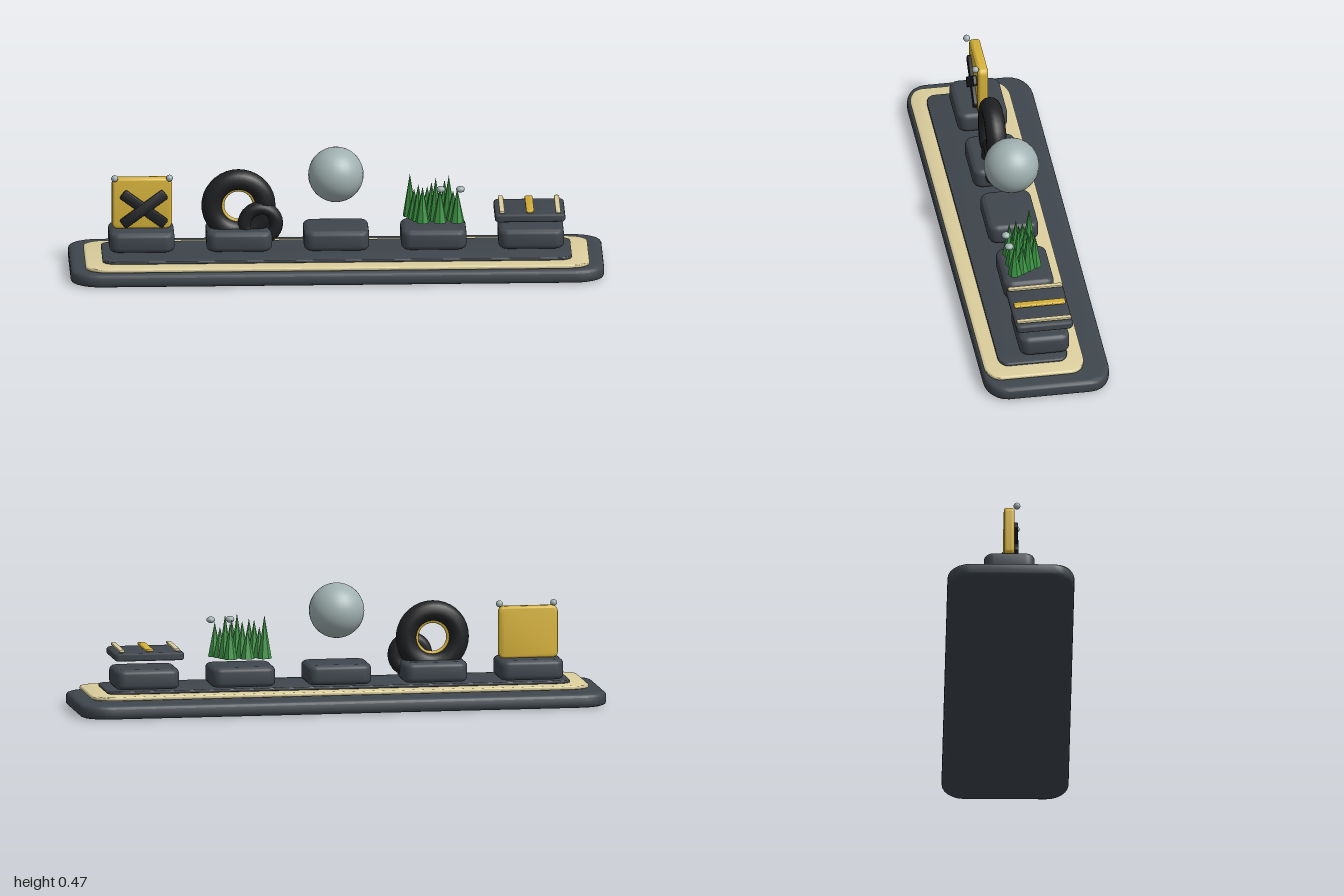
import * as THREE from 'three';
import { toCreasedNormals } from 'three/addons/utils/BufferGeometryUtils.js';

const mat = (name, color) => Object.assign(new THREE.MeshStandardMaterial({ color }), { name });

// Rounded slab: plan w x d with elliptical corners, height h, softened edges, centred at the origin
function slab(w, h, d, rx, rz, bevel, bevelH) {
  const a = w / 2 - bevel, b = d / 2 - bevel, H = Math.PI / 2;
  const s = new THREE.Shape();
  [[1, 1], [-1, 1], [-1, -1], [1, -1]].forEach(([sx, sz], i) => {
    for (let k = 0; k <= 6; k++) {
      const t = i * H + (k / 6) * H;
      const x = sx * (a - rx) + rx * Math.cos(t), y = sz * (b - rz) + rz * Math.sin(t);
      if (i || k) s.lineTo(x, y); else s.moveTo(x, y);
    }
  });
  s.closePath();
  const g = new THREE.ExtrudeGeometry(s, {
    depth: h - 2 * bevelH, bevelEnabled: true, bevelSize: bevel, bevelThickness: bevelH, bevelSegments: 4,
  });
  g.translate(0, 0, -(h - 2 * bevelH) / 2).rotateX(-H);
  return toCreasedNormals(g, 0.8);
}

export function createModel() {
  const slate = mat('slate', 0x3f464d), cream = mat('cream', 0xdccf9e), yellow = mat('yellow', 0xd6b23a);
  const black = mat('black', 0x1f2022), grey = mat('grey', 0xa0b0b0), green = mat('green', 0x3c9444);
  const model = new THREE.Group();
  model.name = 'displayTray';

  const add = (parent, name, geo, material, x, y, z) => {
    const m = new THREE.Mesh(geo, material);
    m.name = name;
    m.position.set(x, y, z);
    parent.add(m);
    return m;
  };
  const group = (name, x, y, z) => {
    const g = new THREE.Group();
    g.name = name;
    g.position.set(x, y, z);
    model.add(g);
    return g;
  };

  // Stacked tray
  add(model, 'base', slab(2, 0.054, 0.476, 0.09, 0.06, 0.025, 0.014), slate, 0, 0.027, 0);
  add(model, 'creamBorder', slab(1.89, 0.015, 0.378, 0.08, 0.05, 0.008, 0.006), cream, 0, 0.065, 0.042);
  add(model, 'topPanel', slab(1.76, 0.012, 0.264, 0.05, 0.03, 0.006, 0.005), slate, 0, 0.079, 0.042);

  // Five pedestals
  const padX = [-0.73, -0.365, 0, 0.365, 0.73];
  const padGeo = slab(0.245, 0.076, 0.19, 0.02, 0.02, 0.018, 0.018);
  padX.forEach((x) => add(model, 'pedestal', padGeo, slate, x, 0.128, -0.005));

  // Sign with crossed bars and two bolts
  const sign = group('sign', -0.728, 0.262, -0.006);
  const plate = slab(0.225, 0.04, 0.198, 0.012, 0.012, 0.01, 0.012);
  add(sign, 'signPlate', plate, yellow, 0, 0, 0).rotation.x = Math.PI / 2;
  const bar = slab(0.2, 0.016, 0.04, 0.004, 0.004, 0.004, 0.004);
  bar.rotateX(Math.PI / 2);
  for (const s of [1, -1]) {
    add(sign, 'crossBar', bar, black, 0.007, -0.018, 0.027 + s * 0.001).rotation.z = s * 0.64;
    add(sign, 'bolt', new THREE.SphereGeometry(0.013, 16, 12), grey, s * 0.103, 0.103, 0.029);
  }

  // Large tyre with a rim, and a small tyre leaning in front
  const tyres = group('tyres', -0.366, 0.25, 0);
  add(tyres, 'largeTyre', new THREE.TorusGeometry(0.1, 0.039, 14, 36), black, 0, 0, 0);
  add(tyres, 'wheelRim', new THREE.TorusGeometry(0.062, 0.009, 10, 32), yellow, 0, 0, 0);
  add(tyres, 'smallTyre', new THREE.TorusGeometry(0.059, 0.026, 12, 28), black, 0.082, -0.066, 0.02);

  // Floating ball
  add(model, 'ball', new THREE.SphereGeometry(0.104, 28, 20), grey, 0, 0.362, -0.013);

  // Slanted grid of grass blades
  const grass = group('grass', 0.365, 0.19, 0);
  const heights = [0.165, 0.115, 0.14];
  for (let row = 0; row < 4; row++) {
    for (let col = 0; col < 3; col++) {
      const h = row === 3 ? 0.14 - col * 0.005 : heights[(col + row) % 3];
      const cone = toCreasedNormals(new THREE.ConeGeometry(0.027, h, 7), 0.3);
      add(grass, 'grassBlade', cone, green, -0.087 + col * 0.065 + row * 0.015, h / 2, -0.035 + row * 0.0275);
    }
  }
  // Pebbles hovering by the grass
  for (const x of [0.026, 0.099]) {
    add(grass, 'pebble', new THREE.SphereGeometry(0.0165, 16, 12), grey, x, 0.135, 0.071).scale.y = 0.75;
  }

  // Raised platform with three strips
  const platform = group('platform', 0.725, 0.216, -0.003);
  add(platform, 'platformTop', slab(0.264, 0.03, 0.215, 0.008, 0.008, 0.01, 0.01), slate, 0, 0, 0);
  const strip = slab(0.02, 0.01, 0.207, 0.003, 0.003, 0.004, 0.004);
  for (const s of [1, -1]) add(platform, 'sideStrip', strip, cream, s * 0.105, 0.024, 0);
  add(platform, 'centreStrip', slab(0.03, 0.01, 0.195, 0.004, 0.004, 0.004, 0.004), yellow, 0, 0.024, 0);

  return model;
}
